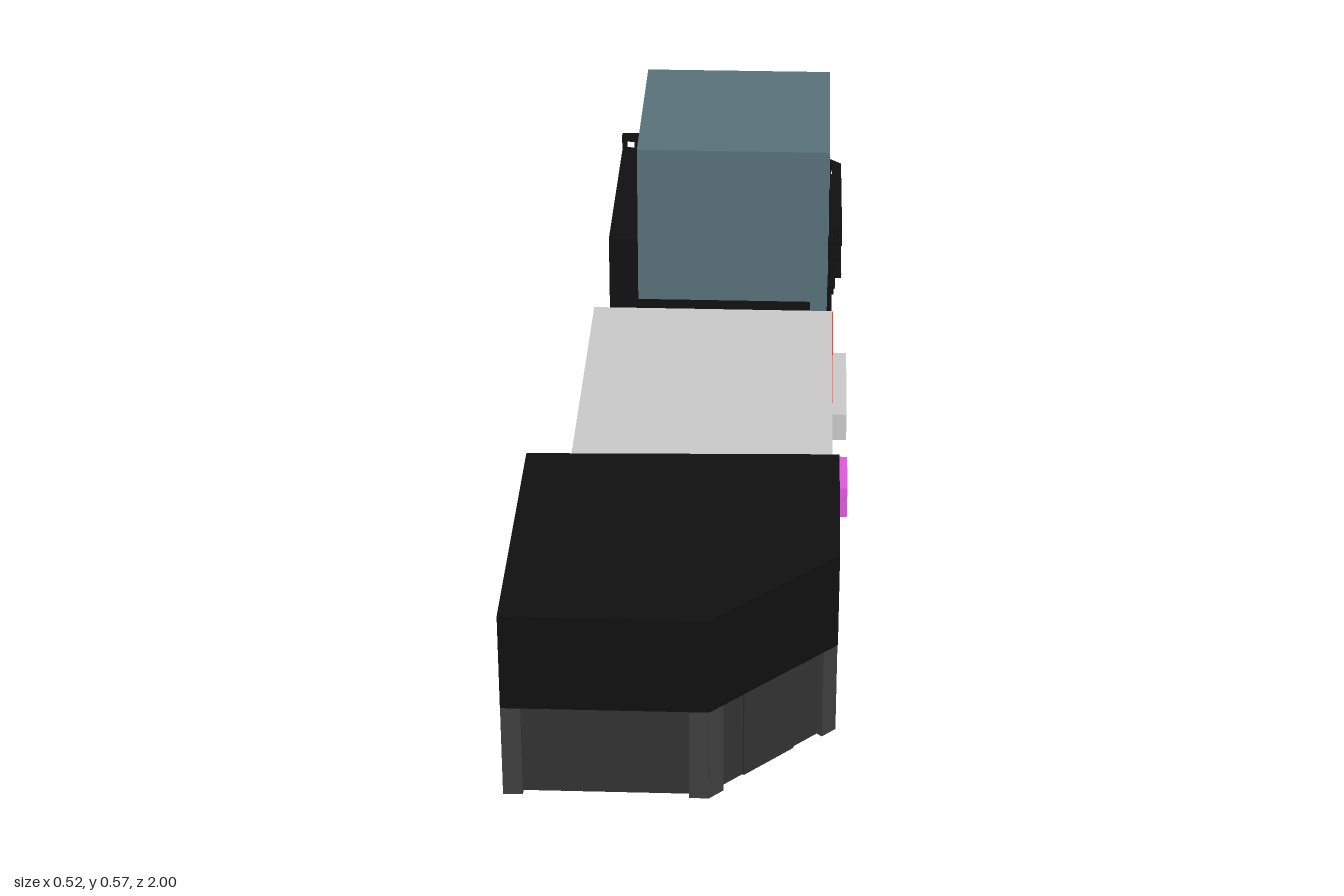
import * as THREE from 'three';

const mat = (color) => new THREE.MeshStandardMaterial({ color, side: THREE.DoubleSide, flatShading: true });
const M = {
  black: mat(0x101010), glass: mat(0x333333), pier: mat(0x404040), teal: mat(0x587279),
  grey: mat(0xcccccc), red: mat(0xe04844), pink: mat(0xe05ce0),
};
const T = 0.006; // wall thickness

function box(g, name, m, x0, x1, y0, y1, z0, z1) {
  const mesh = new THREE.Mesh(new THREE.BoxGeometry(x1 - x0, y1 - y0, z1 - z0), m);
  mesh.position.set((x0 + x1) / 2, (y0 + y1) / 2, (z0 + z1) / 2);
  mesh.name = name;
  g.add(mesh);
}

// Flat slab over an outline of [x, z] points
function slab(g, name, m, pts, y0, y1) {
  const shape = new THREE.Shape(pts.map(([x, z]) => new THREE.Vector2(x, -z)));
  const geo = new THREE.ExtrudeGeometry(shape, { depth: y1 - y0, bevelEnabled: false });
  geo.rotateX(-Math.PI / 2).translate(0, y0, 0);
  const mesh = new THREE.Mesh(geo, m);
  mesh.name = name;
  g.add(mesh);
}

// Box along a street edge p-q: t along the edge, d outwards from it
function edgeBox(g, name, m, [p, q], t0, t1, y0, y1, d0, d1) {
  const L = Math.hypot(q[0] - p[0], q[1] - p[1]);
  const ux = (q[0] - p[0]) / L, uz = (q[1] - p[1]) / L;
  const t = (t0 + t1) / 2, d = (d0 + d1) / 2;
  const mesh = new THREE.Mesh(new THREE.BoxGeometry(t1 - t0, y1 - y0, d1 - d0), m);
  mesh.position.set(p[0] + ux * t - uz * d, (y0 + y1) / 2, p[1] + uz * t + ux * d);
  mesh.rotation.y = Math.atan2(-uz, ux);
  mesh.name = name;
  g.add(mesh);
}

const edges = (pts) => pts.slice(1).map((q, i) => {
  const p = pts[i];
  return { e: [p, q], L: Math.hypot(q[0] - p[0], q[1] - p[1]) };
});

// Facade facing +x with rectangular openings [z0, z1, y0, y1]
function facade(g, name, m, x0, x1, y0, y1, z0, z1, holes) {
  const rect = (P, a, b, c, d) => {
    const s = new P();
    s.moveTo(-a, c); s.lineTo(-b, c); s.lineTo(-b, d); s.lineTo(-a, d); s.closePath();
    return s;
  };
  const shape = rect(THREE.Shape, z0, z1, y0, y1);
  holes.forEach((h) => shape.holes.push(rect(THREE.Path, ...h)));
  const geo = new THREE.ExtrudeGeometry(shape, { depth: x1 - x0, bevelEnabled: false });
  geo.rotateY(Math.PI / 2).translate(x0, 0, 0);
  const mesh = new THREE.Mesh(geo, m);
  mesh.name = name;
  g.add(mesh);
}

// Glazed corner shop with a deep plain fascia
function cornerShop() {
  const g = new THREE.Group();
  g.name = 'cornerShop';
  const path = [[-0.26, 1], [0.05, 1], [0.24, 0.81], [0.24, 0.5]];
  slab(g, 'roof', M.black, [...path, [-0.26, 0.515]], 0.334, 0.34);
  box(g, 'partyWall', M.black, -0.26, -0.26 + T, 0.025, 0.34, 0.515, 0.998);
  edges(path).forEach(({ e, L }, i) => {
    edgeBox(g, 'fascia', M.black, e, 0, L, 0.18, 0.338, -0.012, 0);
    edgeBox(g, 'shopGlass', M.glass, e, 0.005, L - 0.005, 0.025, 0.18, -0.018, -0.012);
    edgeBox(g, 'pier', M.pier, e, 0, 0.03, 0.025, 0.18, -0.014, -0.001);
    edgeBox(g, 'pier', M.pier, e, L - 0.03, L, 0.025, 0.18, -0.014, -0.001);
    if (i === 1) edgeBox(g, 'door', M.glass, e, 0.08, 0.185, 0.025, 0.17, -0.014, -0.009);
    if (i === 2) edgeBox(g, 'pier', M.pier, e, 0.1, 0.13, 0.025, 0.18, -0.014, -0.001);
  });
  return g;
}

// Low double shop: grey half with a pink sign, red half with a grey sign
function lowShops() {
  const g = new THREE.Group();
  g.name = 'lowShops';
  box(g, 'roof', M.grey, -0.2, 0.23, 0.256, 0.262, -0.165, 0.49);
  for (const z of [-0.165, 0.49 - T]) box(g, 'partyWall', M.black, -0.2, 0.19, 0.025, 0.256, z, z + T);
  facade(g, 'greyFront', M.grey, 0.17, 0.23, 0.025, 0.261, 0.165, 0.49, [[0.278, 0.385, 0.0255, 0.16]]);
  facade(g, 'redFront', M.red, 0.17, 0.231, 0.025, 0.261, -0.165, 0.165, [[-0.112, 0.122, 0.0255, 0.16]]);
  box(g, 'doorGlass', M.glass, 0.17, 0.176, 0.025, 0.16, 0.278, 0.385);
  box(g, 'windowGlass', M.glass, 0.17, 0.176, 0.025, 0.16, -0.112, 0.122);
  box(g, 'pinkSign', M.pink, 0.22, 0.256, 0.155, 0.209, 0.275, 0.382);
  box(g, 'greySign', M.grey, 0.22, 0.256, 0.155, 0.205, -0.112, 0.12);
  return g;
}

// Tall block over a recessed ground floor with slim columns
function tower() {
  const g = new THREE.Group();
  g.name = 'tower';
  const [x0, x1, z0, z1] = [-0.12, 0.22, -0.54, -0.165];
  const windows = [];
  for (const y of [0.205, 0.305, 0.405, 0.5])
    for (const z of [-0.51, -0.32]) windows.push([z, z + 0.135, y, y + 0.06]);
  facade(g, 'front', M.teal, x1 - 0.03, x1, 0.17, 0.573, z0, z1, windows);
  box(g, 'windowGlass', M.glass, x1 - 0.034, x1 - 0.028, 0.19, 0.565, z0 + 0.01, z1 - 0.01);
  for (const [a, b, y0, y1] of windows) box(g, 'sill', M.teal, x1 - 0.02, x1 + 0.001, y0 - 0.005, y0 + 0.004, a, b);
  box(g, 'roof', M.teal, x0, x1, 0.567, 0.573, z0, z1);
  box(g, 'backWall', M.teal, x0, x0 + T, 0.28, 0.57, z0, z1);
  box(g, 'lowerBackWall', M.black, x0, x0 + T, 0.17, 0.28, z0, z1);
  box(g, 'sideWall', M.teal, x0, x1 - 0.03, 0.17, 0.57, z0, z0 + T);
  box(g, 'sideWall', M.teal, x0, x1 - 0.03, 0.28, 0.57, z1 - T, z1);
  box(g, 'lowerSideWall', M.black, x0, x1 - 0.03, 0, 0.28, z1 - T, z1);
  box(g, 'lowerSideWall', M.black, x0, x1 - 0.005, 0, 0.17, z0, z0 + T);
  box(g, 'lowerSideWall', M.black, x1 - 0.03, x1 - 0.005, 0, 0.17, z1 - T, z1);
  box(g, 'soffit', M.black, 0.12, x1, 0.166, 0.17, z0, z1);
  box(g, 'shopGlass', M.glass, 0.14, 0.146, 0, 0.168, z0, z1);
  box(g, 'ledge', M.grey, 0.146, 0.2, 0.086, 0.098, z0 + T, z1 - T);
  for (const z of [-0.54, -0.453, -0.353, -0.175]) box(g, 'column', M.teal, 0.207, 0.219, 0, 0.17, z, z + 0.01);
  return g;
}

// Ornate corner building with cornices and a balustrade
function ornateCorner() {
  const g = new THREE.Group();
  g.name = 'ornateCorner';
  const path = [[0.25, -0.56], [0.25, -0.86], [0.11, -1], [-0.2, -1]];
  slab(g, 'roof', M.black, [...path, [-0.2, -0.56]], 0.205, 0.213);
  box(g, 'partyWall', M.black, -0.2, 0.23, 0.025, 0.207, -0.56 - T, -0.56);
  // window spans along each street edge
  const spans = [
    [[0.02, 0.075], [0.1, 0.16], [0.21, 0.27]],
    [[0.065, 0.133]],
    [[0.045, 0.105], [0.14, 0.165], [0.215, 0.275]],
  ];
  edges(path).forEach(({ e, L }, i) => {
    const a = i === 0 ? 0 : 0.009, b = i === 2 ? L : L - 0.009;
    // wall pieces between the windows
    let t = a;
    for (const [s0, s1] of [...spans[i], [b, b]]) {
      edgeBox(g, 'wall', M.black, e, t, s0, 0.025, 0.095, -0.045, -0.02);
      t = s1;
    }
    edgeBox(g, 'upperWall', M.black, e, a, b, 0.095, 0.206, -0.045, -0.02);
    edgeBox(g, 'plinth', M.black, e, a, b, 0.025, 0.032, -0.045, -0.017);
    for (const [s0, s1] of spans[i]) {
      edgeBox(g, 'windowGlass', M.glass, e, s0, s1, 0.03, 0.095, -0.042, -0.037);
      edgeBox(g, 'lintel', M.black, e, s0 - 0.006, s1 + 0.006, 0.093, 0.101, -0.025, -0.014);
    }
    // stepped cornices
    for (const [y, h, d] of [[0.112, 0.006, -0.012], [0.136, 0.008, 0], [0.17, 0.012, -0.004], [0.19, 0.008, -0.002]])
      edgeBox(g, 'cornice', M.black, e, 0, L, y, y + h, -0.04, d);
    for (let s = 0.015; s < L - 0.01; s += 0.03)
      edgeBox(g, 'bracket', M.black, e, s, s + 0.01, 0.144, 0.17, -0.03, -0.008);
    // balustrade
    edgeBox(g, 'handrail', M.black, e, 0, L, 0.234, 0.246, -0.02, -0.002);
    const n = Math.round(L / 0.026);
    for (let k = 0; k <= n; k++) {
      const s = 0.005 + (k / n) * (L - 0.01);
      edgeBox(g, 'baluster', M.black, e, s - 0.005, s + 0.005, 0.212, 0.236, -0.016, -0.006);
    }
  });
  return g;
}

export function createModel() {
  const model = new THREE.Group();
  model.name = 'streetRow';
  model.add(cornerShop(), lowShops(), tower(), ornateCorner());
  return model;
}
